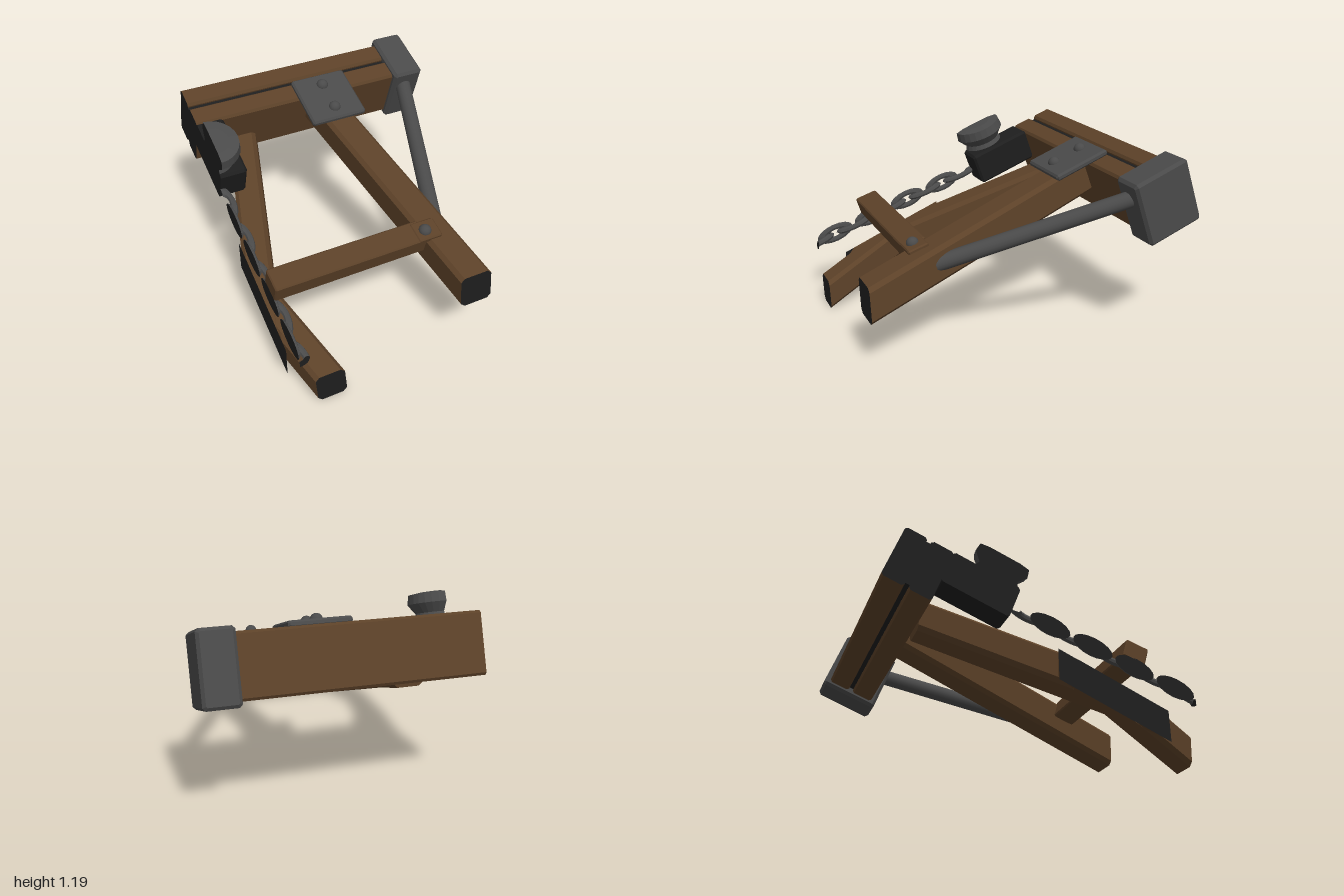
import * as THREE from 'three';

const CUT_X = -0.82, CUT_Z = 1, TILT = 0.35;

export function createModel() {
  const model = new THREE.Group();
  const wood = new THREE.MeshStandardMaterial({ color: 0x5c4128 });
  wood.name = 'wood';
  const iron = new THREE.MeshStandardMaterial({ color: 0x4a4a4a });
  iron.name = 'iron';
  const black = new THREE.MeshStandardMaterial({ color: 0x1e1e1e });
  black.name = 'black';

  // Adds a part, trimmed flat at the two cut planes; the cut faces turn black
  function cutPart(name, geo, mat, parent = model) {
    const g = geo.index ? geo.toNonIndexed() : geo;
    const p = g.attributes.position;
    const sides = [], cuts = [];
    for (let i = 0; i < p.count; i += 3) {
      const tri = [];
      let onX = true, onZ = true;
      for (let k = i; k < i + 3; k++) {
        const x = Math.max(p.getX(k), CUT_X), z = Math.min(p.getZ(k), CUT_Z);
        onX = onX && x < CUT_X + 1e-4;
        onZ = onZ && z > CUT_Z - 1e-4;
        tri.push(x, p.getY(k), z);
      }
      (onX || onZ ? cuts : sides).push(...tri);
    }
    const out = new THREE.BufferGeometry();
    out.setAttribute('position', new THREE.Float32BufferAttribute([...sides, ...cuts], 3));
    out.computeVertexNormals();
    out.addGroup(0, sides.length / 3, 0);
    out.addGroup(sides.length / 3, cuts.length / 3, 1);
    const mesh = new THREE.Mesh(out, [mat, black]);
    mesh.name = name;
    parent.add(mesh);
    return mesh;
  }

  function plain(name, geo, mat, parent = model) {
    const mesh = new THREE.Mesh(geo, mat);
    mesh.name = name;
    parent.add(mesh);
    return mesh;
  }

  // Rectangle with trimmed corners
  function section(w, h, c) {
    const a = w / 2, b = h / 2;
    return new THREE.Shape([
      [a - c, -b], [a, -b + c], [a, b - c], [a - c, b],
      [-a + c, b], [-a, b - c], [-a, -b + c], [-a + c, -b],
    ].map(([x, y]) => new THREE.Vector2(x, y)));
  }

  // Box with chamfered edges, given by its extents
  function bevelBox(x0, x1, y0, y1, z0, z1, b) {
    const d = z1 - z0 - 2 * b;
    return new THREE.ExtrudeGeometry(section(x1 - x0 - 2 * b, y1 - y0 - 2 * b, 0.4 * b), {
      depth: d, bevelEnabled: true, bevelSize: b, bevelThickness: b, bevelSegments: 1,
    }).translate((x0 + x1) / 2, (y0 + y1) / 2, z0 + b);
  }

  // Slanted timber: its section stays upright while x and y run linearly with z
  function timber(w, h, z0, z1, xAt1, yAt1, dx, dy) {
    const geo = new THREE.ExtrudeGeometry(section(w, h, 0.025), {
      depth: z1 - z0, steps: 48, bevelEnabled: false,
    }).translate(0, 0, z0);
    const p = geo.attributes.position;
    for (let i = 0; i < p.count; i++) {
      const x = p.getX(i), y = p.getY(i), t = 1 - p.getZ(i);
      p.setXYZ(i, x - 0.09 * y + xAt1 + dx * t, y + yAt1 + dy * t, p.getZ(i));
    }
    return geo;
  }

  function bolt(x, y, z, parent) {
    const geo = new THREE.SphereGeometry(0.04, 12, 5, 0, Math.PI * 2, 0, Math.PI / 2);
    plain('bolt', geo, iron, parent).position.set(x, y, z);
  }

  // Tilted head beam: two planks, dark filler and an iron end block
  const head = new THREE.Group();
  head.name = 'headBeam';
  head.position.set(0, 0.93, -0.745);
  head.rotation.x = TILT;
  model.add(head);
  cutPart('backPlank', bevelBox(-0.9, 0.62, -0.185, 0.185, -0.155, -0.015, 0.015), wood, head);
  cutPart('frontPlank', bevelBox(-0.9, 0.62, -0.185, 0.185, 0.012, 0.155, 0.015), wood, head);
  cutPart('plankFiller', bevelBox(-0.9, 0.62, -0.16, 0.16, -0.03, 0.03, 0.005), black, head);
  plain('endBlock', bevelBox(0.597, 0.81, -0.215, 0.215, -0.19, 0.19, 0.018), iron, head);

  // Bracket plate over the joint of beam and leg
  plain('bracketPlate', bevelBox(-0.12, 0.26, 0.183, 0.225, 0.02, 0.405, 0.012), iron, head);
  for (const z of [0.113, 0.313]) bolt(0.07, 0.22, z, head);

  // Dark housing with a flared iron cap
  cutPart('housing', bevelBox(-0.9, -0.645, -0.03, 0.19, 0.15, 0.59, 0.015), black, head);
  const capProfile = [[0, 0.17], [0.14, 0.18], [0.125, 0.22], [0.172, 0.28], [0.163, 0.34], [0.1, 0.35], [0, 0.35]]
    .map(([r, y]) => new THREE.Vector2(r, y));
  cutPart('flaredCap', new THREE.LatheGeometry(capProfile, 24).translate(CUT_X, 0, 0.43), iron, head);

  // Legs: one straight, two crossing at the cut side
  cutPart('leg', timber(0.21, 0.225, -0.64, 1, 0.325, 0.447, -0.168, 0.31), wood);
  cutPart('crossLegFront', timber(0.185, 0.195, 0.1, 1, -0.63, 0.098, -0.31, 0.4), wood)
    .geometry.computeBoundingBox();
  cutPart('crossLegBack', timber(0.185, 0.195, -0.66, 0.8, -0.98, 0.1, 0.3, 0.4), wood);

  // Crossbar with a thin tongue bolted on the leg
  const bar = new THREE.Group();
  bar.name = 'crossbar';
  bar.position.set(0, 0.632, 0.615);
  bar.rotation.x = 0.3;
  model.add(bar);
  plain('barBody', bevelBox(CUT_X, 0.16, -0.06, 0.06, -0.075, 0.075, 0.008), wood, bar);
  plain('barTongue', bevelBox(0.1, 0.26, 0.025, 0.066, -0.06, 0.075, 0.008), wood, bar);
  bolt(0.17, 0.062, 0.012, bar);

  // Round iron strut from the end block to the leg
  const from = new THREE.Vector3(0.31, 0.59, 0.55), to = new THREE.Vector3(0.7, 0.96, -0.58);
  const dir = to.clone().sub(from);
  const strut = plain('strut', new THREE.CylinderGeometry(0.052, 0.052, dir.length(), 16), iron);
  strut.position.copy(from).add(to).multiplyScalar(0.5);
  strut.quaternion.setFromUnitVectors(new THREE.Vector3(0, 1, 0), dir.normalize());

  // Chain: flat and upright links alternate down the cut side
  const chain = new THREE.Group();
  chain.name = 'chain';
  model.add(chain);
  for (let i = 0; i < 9; i++) {
    const z = -0.08 + i * 0.135, y = 0.42 + (0.92 - z) * 0.32;
    const upright = i % 2 === 1;
    const link = new THREE.TorusGeometry(0.043, 0.02, 8, 16, upright ? Math.PI * 2 : Math.PI)
      .rotateZ(upright ? 0 : -Math.PI / 2).scale(1, 2.1, 1);
    if (upright) link.rotateY(Math.PI / 2);
    // Stand the link's long side along the chain
    link.rotateX(Math.PI / 2 + 0.31).translate(CUT_X, y, z);
    cutPart('chainLink', link, iron, chain);
    if (upright) {
      const plate = new THREE.CircleGeometry(0.06, 8).scale(1.5, 1, 1).rotateY(-Math.PI / 2)
        .rotateX(0.31).translate(CUT_X, y, z);
      plain('linkCutFace', plate, black, chain);
    }
  }
  return model;
}
